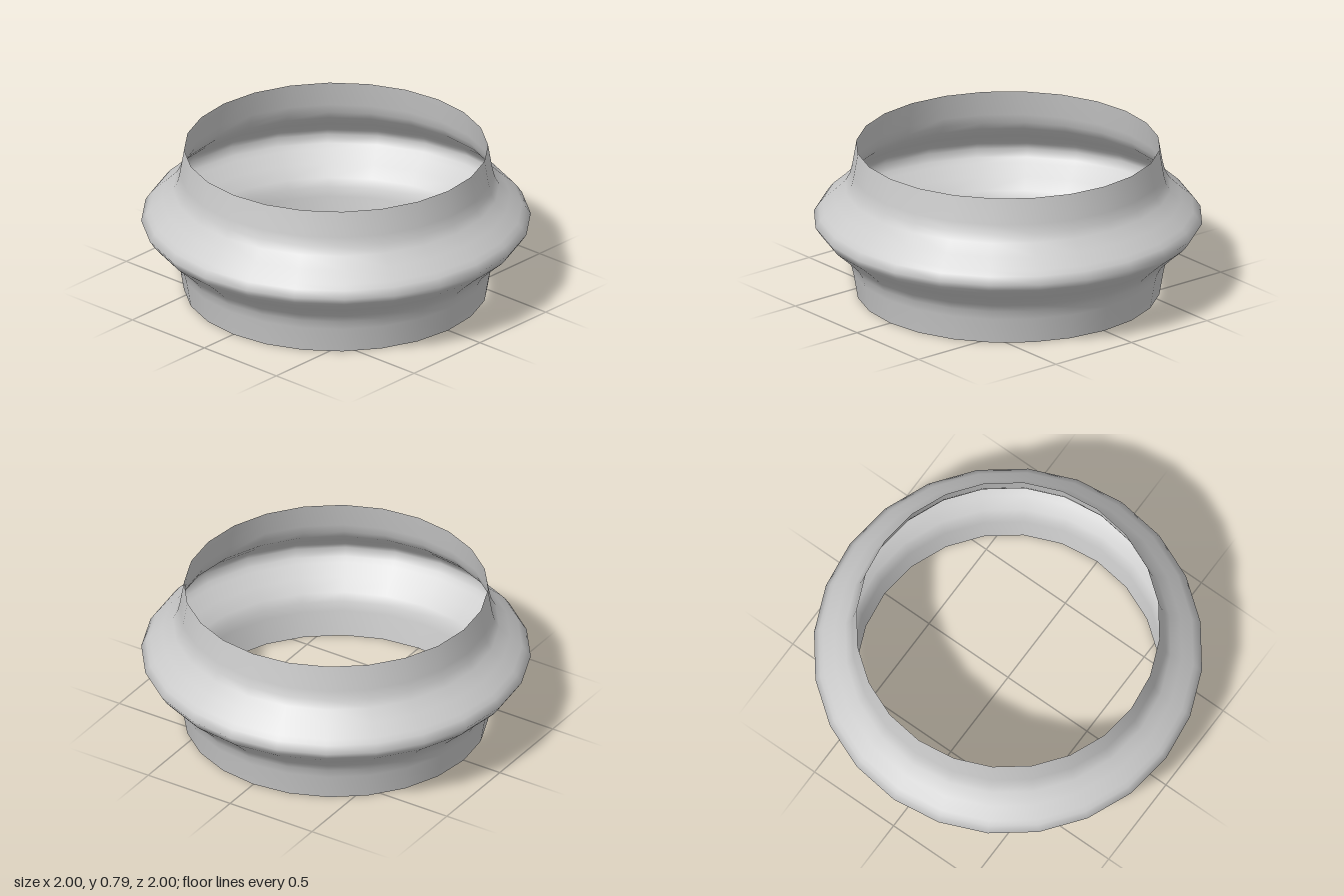
import * as THREE from 'three';

// Thin open ring with a flared ridge around its middle
export function createModel() {
  const group = new THREE.Group();
  const mid = 0.395;

  // Lower half of the profile: radius and distance below the ridge
  const half = [
    [0.78, 0.395], [0.803, 0.26], [0.815, 0.212], [0.838, 0.17],
    [0.895, 0.115], [0.955, 0.062], [0.975, 0.038],
  ];
  const lower = half.map(([r, d]) => new THREE.Vector2(r, mid - d));
  const upper = half.map(([r, d]) => new THREE.Vector2(r, mid + d)).reverse();
  const profile = [...lower, new THREE.Vector2(1, mid), ...upper];

  const ring = new THREE.Mesh(
    new THREE.LatheGeometry(profile, 24),
    new THREE.MeshStandardMaterial({ color: 0xcccccc, side: THREE.DoubleSide })
  );
  ring.name = 'flaredRing';
  group.add(ring);
  return group;
}
